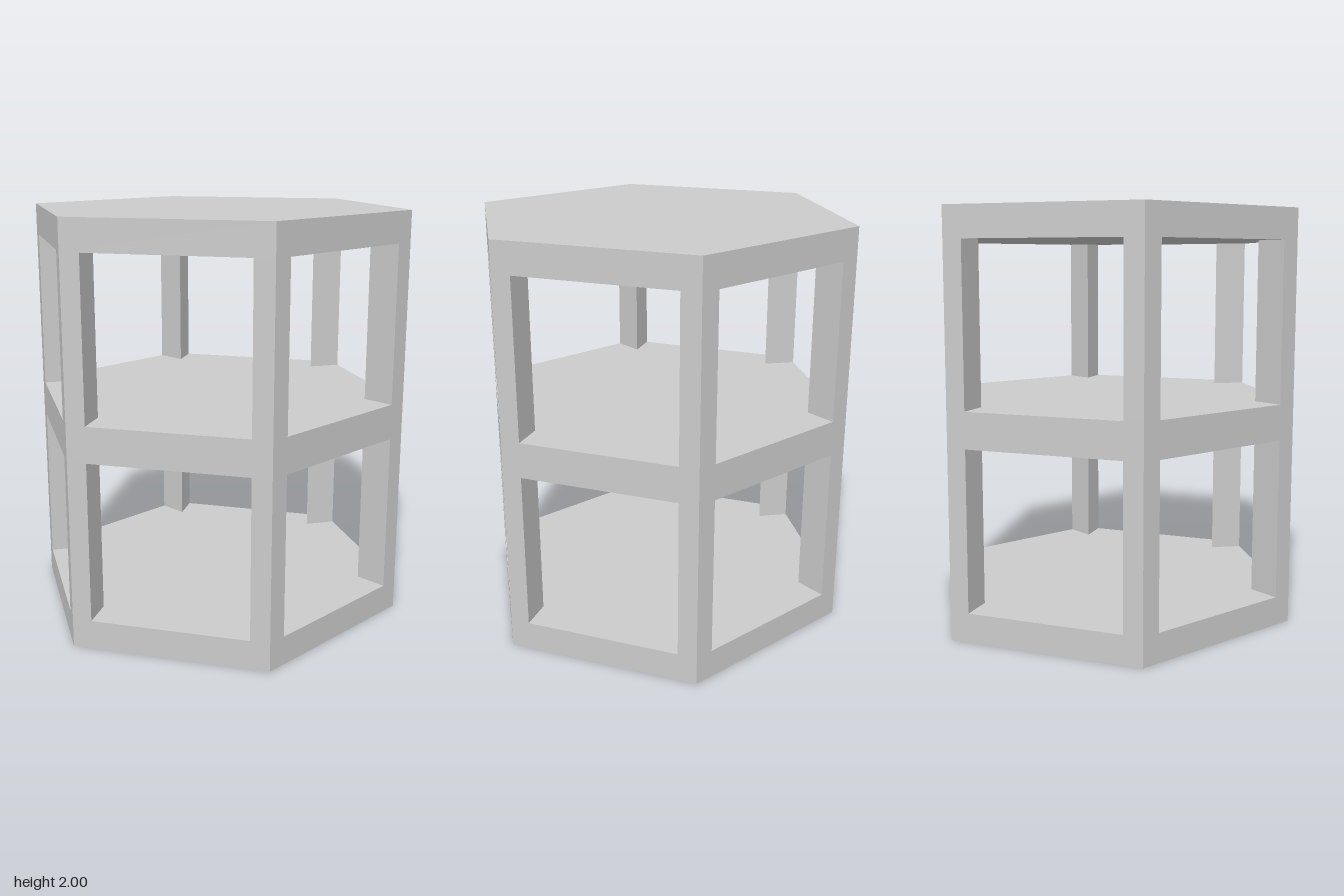
import * as THREE from 'three';

const R = 0.945;          // hexagon corner radius
const EDGE = 0.0925;      // post width along each side face
const SLABS = [[0, 0.14], [0.911, 1.083], [1.851, 2]];
const NAMES = ['floor', 'middleShelf', 'roof'];

const material = new THREE.MeshStandardMaterial({ color: 0xcccccc, flatShading: true });

// Hexagonal plate with corners on the x axis
function slab(name, bottom, top) {
  const geometry = new THREE.CylinderGeometry(R, R, top - bottom, 6, 1, false, Math.PI / 6);
  const mesh = new THREE.Mesh(geometry, material);
  mesh.name = name;
  mesh.position.y = (bottom + top) / 2;
  return mesh;
}

// Kite-section post whose inner sides stand square to the two faces it joins
function postGeometry(height) {
  const halfWidth = EDGE * Math.sin(Math.PI / 3);
  const shape = new THREE.Shape([
    new THREE.Vector2(R, 0),
    new THREE.Vector2(R - EDGE / 2, halfWidth),
    new THREE.Vector2(R - 2 * EDGE, 0),
    new THREE.Vector2(R - EDGE / 2, -halfWidth),
  ]);
  return new THREE.ExtrudeGeometry(shape, { depth: height, bevelEnabled: false }).rotateX(-Math.PI / 2);
}

export function createModel() {
  const model = new THREE.Group();
  model.name = 'hexagonalShelf';

  // Floor, middle shelf and roof
  SLABS.forEach(([bottom, top], i) => model.add(slab(NAMES[i], bottom, top)));

  // Six corner posts on each of the two storeys
  for (let storey = 0; storey < 2; storey++) {
    const bottom = SLABS[storey][1];
    const geometry = postGeometry(SLABS[storey + 1][0] - bottom);
    const posts = new THREE.Group();
    posts.name = storey ? 'upperPosts' : 'lowerPosts';
    for (let i = 0; i < 6; i++) {
      const post = new THREE.Mesh(geometry, material);
      post.name = 'cornerPost';
      post.position.y = bottom;
      post.rotation.y = i * Math.PI / 3;
      posts.add(post);
    }
    model.add(posts);
  }
  return model;
}
